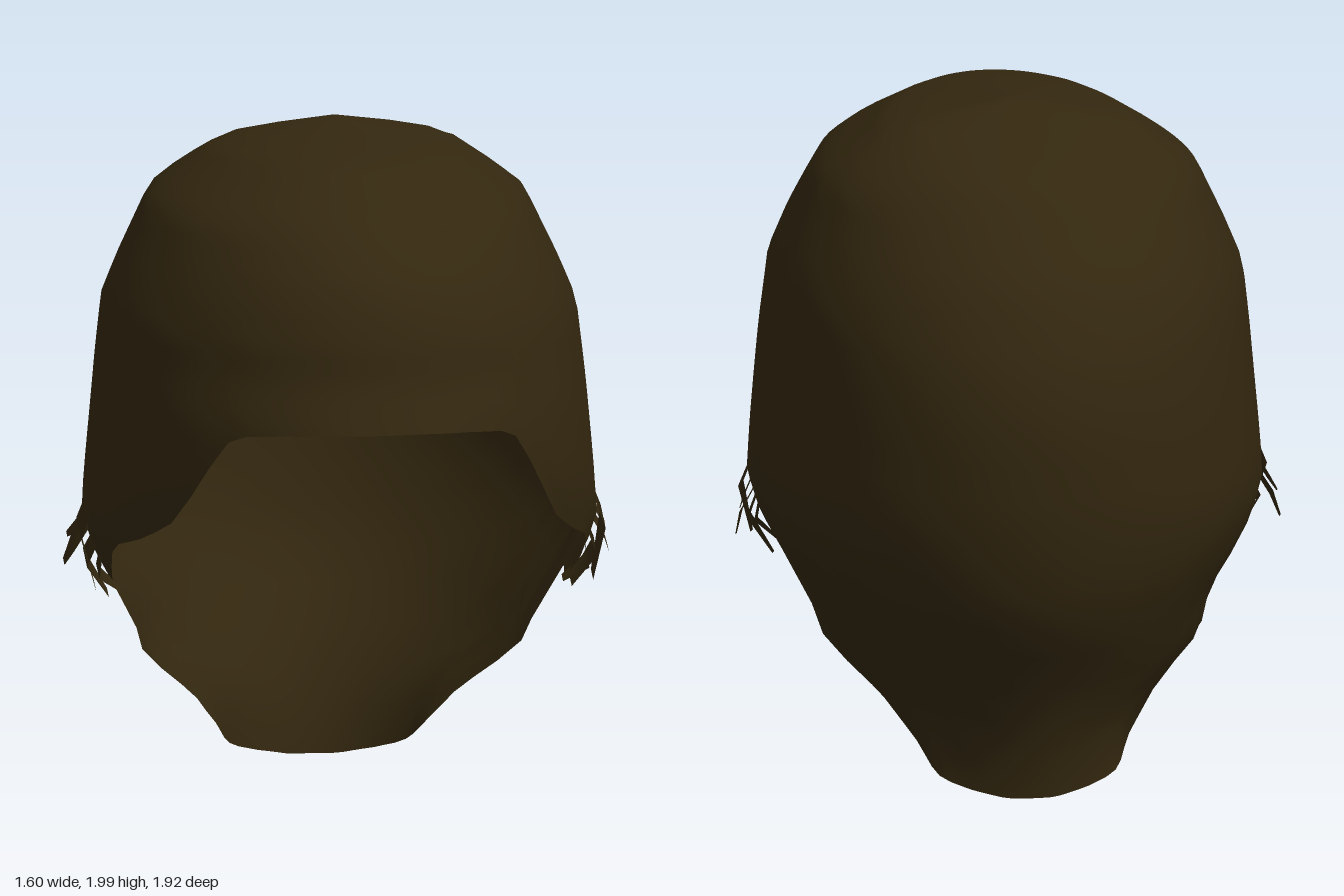
import * as THREE from 'three';

// Piecewise linear lookup in [key, value] pairs with rising keys
function lookup(pairs, k) {
  if (k <= pairs[0][0]) return pairs[0][1];
  for (let i = 1; i < pairs.length; i++) {
    const [k0, v0] = pairs[i - 1], [k1, v1] = pairs[i];
    if (k <= k1) return v0 + (v1 - v0) * (k - k0) / (k1 - k0);
  }
  return pairs[pairs.length - 1][1];
}

// Horizontal sections by height: half width, front, back and middle depth
const halfWidth = [[0, 0.35], [0.06, 0.4], [0.13, 0.38], [0.25, 0.43], [0.4, 0.57], [0.55, 0.6], [0.62, 0.65],
  [0.75, 0.72], [0.85, 0.75], [1.0, 0.738], [1.3, 0.71], [1.48, 0.69], [1.6, 0.64], [1.79, 0.55],
  [1.85, 0.47], [1.94, 0.34], [1.97, 0.2], [2, 0]];
const front = [[0.6, 0.6], [0.8, 0.74], [0.87, 0.82], [0.95, 0.9], [1.05, 0.95], [1.26, 0.96], [1.34, 0.93],
  [1.4, 0.91], [1.5, 0.9], [1.6, 0.87], [1.68, 0.83], [1.76, 0.76], [1.83, 0.68], [1.95, 0.39], [1.975, 0.15], [2, -0.13]];
const back = [[0, -0.6], [0.13, -0.62], [0.35, -0.71], [0.45, -0.78], [0.63, -0.89], [0.92, -0.95], [1.2, -0.96],
  [1.38, -0.93], [1.6, -0.83], [1.7, -0.74], [1.85, -0.6], [1.92, -0.4], [2, -0.13]];
const middle = [[0, -0.22], [0.06, -0.2], [0.13, -0.1], [0.25, -0.05], [0.4, 0], [1.2, 0], [1.6, -0.03], [2, -0.13]];

// Height of the lower hairline by depth
const hairline = [[-0.6, 0.01], [-0.53, 0.05], [-0.42, 0.13], [-0.31, 0.26], [-0.2, 0.38], [-0.12, 0.5], [-0.08, 0.66],
  [0, 0.64], [0.15, 0.72], [0.25, 0.81], [0.45, 0.87], [0.6, 0.95], [0.68, 1.05], [0.77, 1.21], [0.82, 1.24], [0.96, 1.26]];

function surfacePoint(angle, y) {
  const m = lookup(middle, y), c = Math.cos(angle);
  const reach = c > 0 ? lookup(front, y) - m : m - lookup(back, y);
  return [lookup(halfWidth, y) * Math.sin(angle), y, m + reach * c];
}

function buildGeometry(points, faces) {
  const g = new THREE.BufferGeometry();
  g.setAttribute('position', new THREE.Float32BufferAttribute(points.flat(), 3));
  g.setIndex(faces);
  g.computeVertexNormals();
  return g;
}

// Open shell: columns run from the crown down to the hairline
function shellGeometry() {
  const columns = 80, rows = 26;
  const points = [[0, 2, -0.13]], faces = [];
  for (let i = 0; i < columns; i++) {
    const angle = i / columns * Math.PI * 2;
    let low = 1.8;
    while (low > 0.01 && low > lookup(hairline, surfacePoint(angle, low)[2])) low -= 0.003;
    for (let j = 1; j <= rows; j++) {
      points.push(surfacePoint(angle, 2 - (2 - low) * Math.pow(j / rows, 1.6)));
    }
  }
  const id = (i, j) => 1 + (i % columns) * rows + j;
  for (let i = 0; i < columns; i++) {
    faces.push(0, id(i, 0), id(i + 1, 0));
    for (let j = 0; j < rows - 1; j++) {
      const a = id(i, j), b = id(i, j + 1), c = id(i + 1, j + 1), d = id(i + 1, j);
      faces.push(a, b, c, a, c, d);
    }
  }
  return buildGeometry(points, faces);
}

// Ragged strand: a bent strip through root, middle and tip
function strandGeometry(root, mid, tip, width) {
  const points = [];
  [root, mid, tip].forEach((p, i) => {
    const w = width * [0.8, 1, 0.45][i] / 2;
    points.push([p[0], p[1] + w * 0.4, p[2] - w], [p[0], p[1] - w * 0.4, p[2] + w]);
  });
  return buildGeometry(points, [0, 1, 3, 0, 3, 2, 2, 3, 5, 2, 5, 4]);
}

export function createModel() {
  const group = new THREE.Group();
  const hair = new THREE.MeshStandardMaterial({ color: 0x33270f, side: THREE.DoubleSide });
  hair.name = 'dark brown hair';

  const shell = new THREE.Mesh(shellGeometry(), hair);
  shell.name = 'hairShell';
  group.add(shell);

  // Tousled strands in front of each ear
  const strands = [
    [[0.74, 0.9, 0.03], [0.77, 0.82, 0.04], [0.73, 0.66, 0.1], 0.12],
    [[0.73, 0.84, -0.02], [0.78, 0.76, -0.04], [0.8, 0.7, -0.08], 0.08],
    [[0.72, 0.8, 0.04], [0.75, 0.73, 0.02], [0.68, 0.62, 0.0], 0.1],
    [[0.73, 0.88, 0.0], [0.77, 0.81, -0.04], [0.79, 0.78, -0.09], 0.06],
    [[0.71, 0.76, 0.08], [0.72, 0.7, 0.08], [0.65, 0.64, 0.04], 0.08],
  ];
  for (const side of [1, -1]) {
    const tuft = new THREE.Group();
    tuft.name = side > 0 ? 'leftSideburn' : 'rightSideburn';
    for (const [a, b, c, width] of strands) {
      const [p, q, r] = [a, b, c].map(([x, y, z]) => [x * side, y, z]);
      const strand = new THREE.Mesh(strandGeometry(p, q, r, width), hair);
      strand.name = 'sideburnStrand';
      tuft.add(strand);
    }
    group.add(tuft);
  }
  return group;
}
